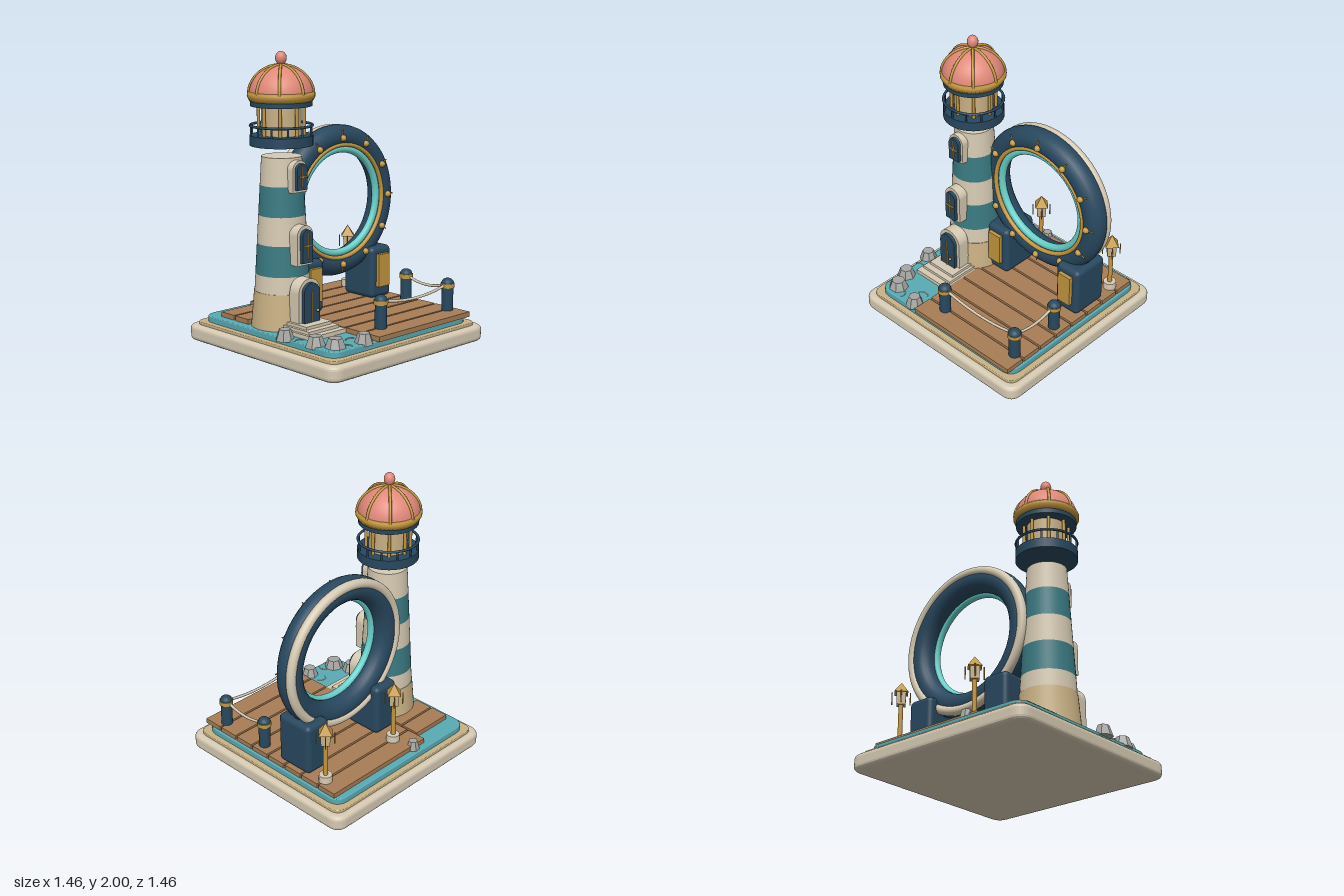
import * as THREE from 'three';
import { RoundedBoxGeometry } from 'three/addons/geometries/RoundedBoxGeometry.js';

const mat = (name, color) => { const m = new THREE.MeshStandardMaterial({ color }); m.name = name; return m; };

export function createModel() {
  const cream = mat('cream', 0xd6cab3), sand = mat('sand', 0xc9b184), navy = mat('navy', 0x28485f),
    teal = mat('teal', 0x3a7a82), water = mat('water', 0x58abb5), aqua = mat('aqua', 0x68d0ca),
    gold = mat('gold', 0xc3973e), wood = mat('wood', 0xa87d55), pink = mat('coral', 0xe08879), gray = mat('stone', 0xa6a6a3);

  const root = new THREE.Group();
  root.name = 'lighthouseDock';
  const group = (name, x = 0, y = 0, z = 0) => {
    const g = new THREE.Group();
    g.name = name; g.position.set(x, y, z); root.add(g);
    return g;
  };
  const add = (parent, name, geo, material, x = 0, y = 0, z = 0) => {
    const m = new THREE.Mesh(geo, material);
    m.name = name; m.position.set(x, y, z); parent.add(m);
    return m;
  };
  const flat = (geo) => { const g = geo.toNonIndexed(); g.computeVertexNormals(); return g; };
  const box = (p, name, w, h, d, m, x, y, z) => add(p, name, new THREE.BoxGeometry(w, h, d), m, x, y, z);
  // Upright cylinder between two heights
  const cyl = (p, name, r0, r1, y0, y1, m, x = 0, z = 0, seg = 40) =>
    add(p, name, new THREE.CylinderGeometry(r1, r0, y1 - y0, seg), m, x, (y0 + y1) / 2, z);
  const ball = (p, name, r, m, x, y, z) => add(p, name, new THREE.SphereGeometry(r, 20, 14), m, x, y, z);

  // Rounded slab lying flat, with bevelled edges
  const slab = (name, size, r, y0, y1, b, m) => {
    const a = size / 2 - b, s = new THREE.Shape();
    s.moveTo(-a + r, -a);
    s.lineTo(a - r, -a); s.quadraticCurveTo(a, -a, a, -a + r);
    s.lineTo(a, a - r); s.quadraticCurveTo(a, a, a - r, a);
    s.lineTo(-a + r, a); s.quadraticCurveTo(-a, a, -a, a - r);
    s.lineTo(-a, -a + r); s.quadraticCurveTo(-a, -a, -a + r, -a);
    const g = new THREE.ExtrudeGeometry(s, { depth: y1 - y0 - 2 * b, bevelSize: b, bevelThickness: b, bevelSegments: 4, curveSegments: 8 });
    g.rotateX(-Math.PI / 2);
    add(root, name, g, m, 0, y0 + b, 0);
  };
  slab('plinth', 1.46, 0.06, 0, 0.11, 0.03, cream);
  slab('sandLayer', 1.37, 0.07, 0.1, 0.13, 0.006, sand);
  slab('waterLayer', 1.29, 0.09, 0.12, 0.172, 0.008, water);

  // Deck
  const deck = group('deck');
  for (let i = 0; i < 8; i++) box(deck, 'plank', 0.89, 0.035, 0.145, wood, 0.185, 0.188, -0.525 + 0.16 * i);
  for (let i = 0; i < 2; i++) box(deck, 'sidePlank', 0.315, 0.035, 0.133, wood, -0.433, 0.188, -0.45 + 0.147 * i);

  // Tower
  const tower = group('tower', -0.41, 0, -0.09);
  cyl(tower, 'towerFoot', 0.212, 0.19, 0.165, 0.415, sand);
  const bands = [0.415, 0.53, 0.735, 0.925, 1.125, 1.315];
  const radius = (y) => 0.187 - (y - 0.415) * 0.058;
  for (let i = 0; i < 5; i++)
    cyl(tower, 'towerBand', radius(bands[i]), radius(bands[i + 1]), bands[i], bands[i + 1], i % 2 ? teal : cream);

  // Gallery with railing
  cyl(tower, 'galleryFloor', 0.21, 0.21, 1.386, 1.453, navy);
  const rail = add(tower, 'galleryRail', new THREE.TorusGeometry(0.205, 0.009, 8, 48), navy, 0, 1.517, 0);
  rail.rotation.x = Math.PI / 2;
  for (let i = 0; i < 12; i++) {
    const a = i * Math.PI / 6;
    cyl(tower, 'railPost', 0.007, 0.007, 1.45, 1.517, navy, 0.203 * Math.sin(a), 0.203 * Math.cos(a), 8);
  }

  // Lamp room
  cyl(tower, 'lampRoom', 0.132, 0.132, 1.45, 1.65, sand);
  cyl(tower, 'lampRoomCollar', 0.205, 0.205, 1.645, 1.68, navy);
  const cornice = [[0, 1.677], [0.208, 1.677], [0.223, 1.705], [0.223, 1.725], [0.212, 1.738], [0, 1.738]];
  add(tower, 'cornice', new THREE.LatheGeometry(cornice.map((p) => new THREE.Vector2(...p)), 48), gold);
  const dome = add(tower, 'dome', new THREE.SphereGeometry(0.213, 40, 16, 0, Math.PI * 2, 0, Math.PI / 2), pink, 0, 1.71, 0);
  dome.scale.y = 0.94;
  const ribPoints = [0, 1, 2, 3, 4, 5, 6].map((i) => {
    const t = i * Math.PI / 12;
    return new THREE.Vector3(0, 1.71 + 0.202 * Math.sin(t), 0.215 * Math.cos(t));
  });
  const ribCurve = new THREE.CatmullRomCurve3(ribPoints);
  for (let i = 0; i < 8; i++) {
    const a = i * Math.PI / 4;
    cyl(tower, 'lampRoomColumn', 0.011, 0.011, 1.45, 1.65, gold, 0.15 * Math.sin(a), 0.15 * Math.cos(a), 10);
    add(tower, 'domeRib', new THREE.TubeGeometry(ribCurve, 20, 0.01, 8), gold).rotation.y = a;
  }
  ball(tower, 'finial', 0.038, pink, 0, 1.955, 0).scale.y = 1.19;

  // Arched door and windows
  const arch = (p, name, half, y0, y1, z0, z1, m) => {
    const s = new THREE.Shape();
    s.moveTo(-half, y0); s.lineTo(half, y0); s.lineTo(half, y1 - half);
    s.absarc(0, y1 - half, half, 0, Math.PI, false);
    s.lineTo(-half, y0);
    add(p, name, new THREE.ExtrudeGeometry(s, { depth: z1 - z0, bevelEnabled: false, curveSegments: 16 }), m, 0, 0, z0);
  };
  const opening = (name, y0, y1, frame, pane, z) => {
    const g = group(name, -0.41, 0, 0);
    arch(g, 'frame', frame, y0, y1, z - 0.09, z, cream);
    arch(g, 'panel', pane, y0 + 0.018, y1 - (frame - pane), z - 0.01, z + 0.025, navy);
    return g;
  };
  const door = opening('door', 0.215, 0.53, 0.095, 0.07, 0.175);
  box(door, 'doorBar', 0.009, 0.2, 0.012, gold, 0, 0.345, 0.204);
  ball(door, 'doorKnob', 0.011, gold, 0.04, 0.317, 0.213);
  for (const [y0, y1, half, z] of [[0.612, 0.878, 0.07, 0.135], [1.09, 1.3, 0.063, 0.087]]) {
    const w = opening('window', y0, y1, half, 0.045, z);
    const mid = (y0 + y1) / 2;
    box(w, 'uprightBar', 0.009, (y1 - y0) * 0.65, 0.012, gold, 0, mid, z + 0.029);
    box(w, 'crossBar', 0.075, 0.009, 0.012, gold, 0, mid, z + 0.029);
  }

  // Steps in front of the door
  const steps = group('steps', -0.41);
  for (let i = 0; i < 3; i++) {
    const front = 0.36 - 0.047 * i, top = 0.2 + 0.02 * i;
    box(steps, 'step', 0.31 - 0.04 * i, top - 0.165, front, cream, 0, (top + 0.165) / 2, front / 2);
  }

  // Great ring
  const ring = group('ring', 0.17, 0.928, -0.185);
  const hoop = (name, R, t, z, m) => add(ring, name, new THREE.TorusGeometry(R, t, 20, 80), m, 0, 0, z);
  hoop('ringBody', 0.446, 0.085, 0, navy);
  hoop('backRim', 0.495, 0.033, -0.061, cream);
  hoop('innerGlow', 0.365, 0.026, 0.04, aqua);
  hoop('goldTrim', 0.397, 0.015, 0.068, gold);
  for (let i = 0; i < 12; i++) {
    const knob = new THREE.Group();
    knob.name = 'ringKnob'; knob.rotation.z = i * Math.PI / 6; ring.add(knob);
    ball(knob, 'knobBall', 0.023, gold, 0, 0.444, 0.086);
    cyl(knob, 'knobPin', 0.005, 0.005, 0.45, 0.5, gold, 0, 0.077, 8);
  }

  // Ring pedestals
  for (const x of [-0.16, 0.502]) {
    const p = group('pedestal', x, 0, -0.19);
    add(p, 'pedestalBlock', new RoundedBoxGeometry(0.2, 0.37, 0.285, 4, 0.035), navy, 0, 0.385, 0);
    box(p, 'pedestalPanel', 0.108, 0.235, 0.04, gold, 0, 0.403, 0.15);
  }

  // Mooring posts and ropes
  const posts = [[-0.1, 0.525], [0.56, 0.525], [0.56, 0.137]];
  for (const [x, z] of posts) {
    const p = group('mooringPost', x, 0, z);
    cyl(p, 'postShaft', 0.04, 0.04, 0.19, 0.37, navy, 0, 0, 24);
    cyl(p, 'postBand', 0.048, 0.048, 0.365, 0.395, gold, 0, 0, 24);
    ball(p, 'postCap', 0.045, navy, 0, 0.39, 0).scale.y = 0.9;
  }
  for (let i = 0; i < 2; i++) {
    const [a, b] = [posts[i], posts[i + 1]];
    const pts = [0, 0.25, 0.5, 0.75, 1].map((t) => new THREE.Vector3(
      a[0] + (b[0] - a[0]) * t, 0.388 - 0.16 * t * (1 - t), a[1] + (b[1] - a[1]) * t));
    add(root, 'rope', new THREE.TubeGeometry(new THREE.CatmullRomCurve3(pts), 24, 0.01, 8), cream);
  }

  // Lamp posts at the back
  for (const x of [-0.1, 0.56]) {
    const p = group('lampPost', x, 0, -0.45);
    cyl(p, 'lampFoot', 0.047, 0.045, 0.2, 0.255, cream, 0, 0, 16);
    cyl(p, 'lampPole', 0.016, 0.016, 0.25, 0.5, gold, 0, 0, 12);
    add(p, 'lampGlass', flat(new THREE.CylinderGeometry(0.047, 0.042, 0.09, 4)), sand, 0, 0.542, 0);
    add(p, 'lampRoof', flat(new THREE.ConeGeometry(0.065, 0.078, 4)), gold, 0, 0.622, 0);
    for (const sx of [-1, 1]) for (const sz of [-1, 1])
      cyl(p, 'lampCornerBar', 0.004, 0.004, 0.5, 0.587, gold, 0.043 * sx, 0.043 * sz, 6);
  }

  // Rocks
  const rocks = [[-0.635, 0.18, 0.065], [-0.6, 0.43, 0.07], [-0.545, 0.557, 0.075], [-0.333, 0.6, 0.066], [-0.157, -0.585, 0.05]];
  rocks.forEach(([x, z, r], i) => {
    const rock = add(root, 'rock', flat(new THREE.CylinderGeometry(r * 0.62, r, 0.075, 7)), gray, x, 0.197, z);
    rock.rotation.y = i * 0.7;
  });

  // Foam ripples on the water
  for (const [x, z, turn] of [[-0.61, 0.31, 0], [-0.355, 0.515, 0.1], [-0.49, 0.6, -0.9]]) {
    const foam = add(root, 'foam', new THREE.TorusGeometry(0.042, 0.004, 6, 16, Math.PI * 0.8), cream, x, 0.174, z);
    foam.rotation.set(-Math.PI / 2, 0, turn + 0.3);
  }
  return root;
}
